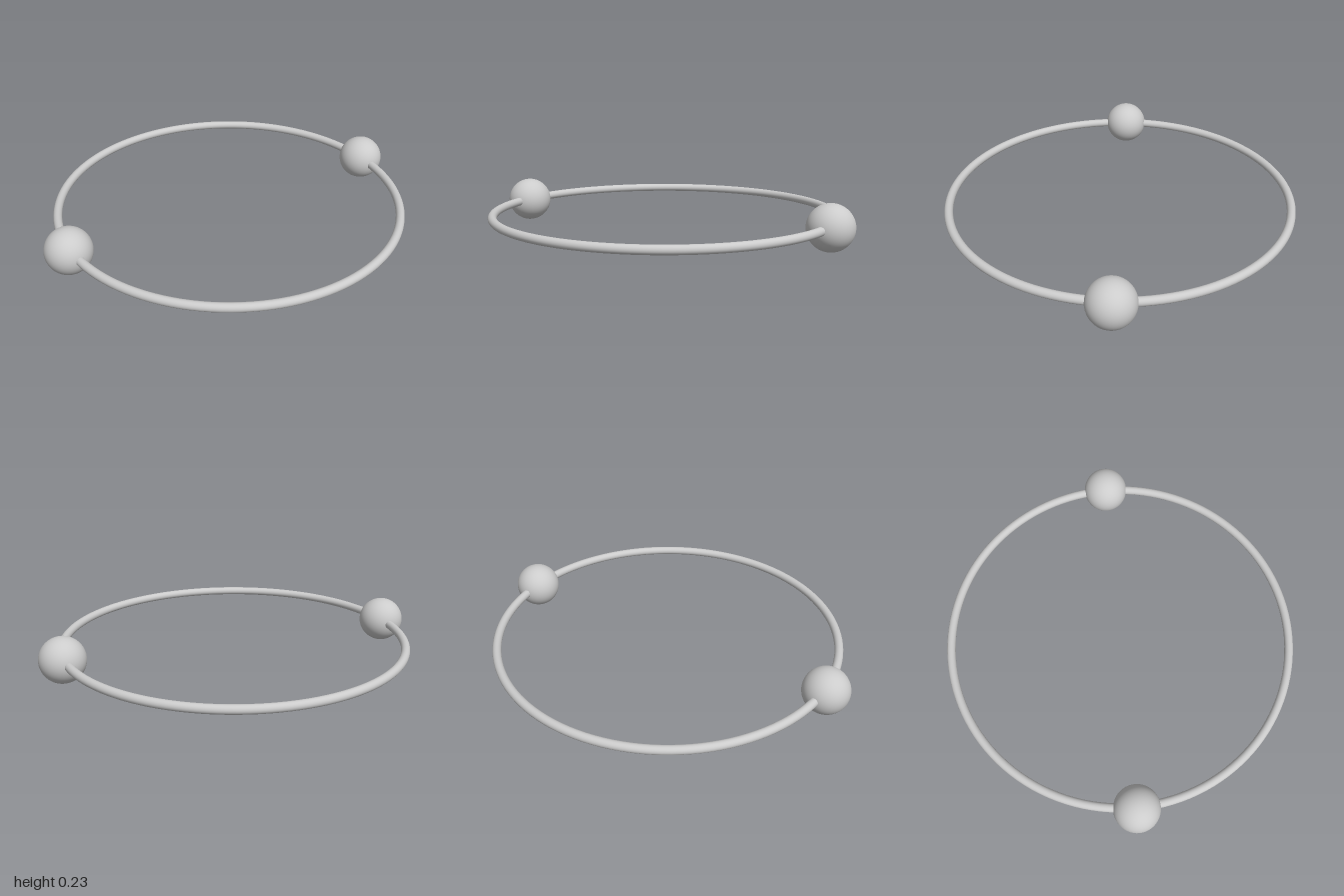
import * as THREE from 'three';

export function createModel() {
  const model = new THREE.Group();
  const grey = new THREE.MeshStandardMaterial({ color: 0xcccccc });
  const ballRadius = 0.116;

  // Thin ring lying flat at the height of the ball centres
  const ring = new THREE.Mesh(new THREE.TorusGeometry(0.878, 0.022, 20, 128), grey);
  ring.name = 'ring';
  ring.rotation.x = -Math.PI / 2;
  ring.position.y = ballRadius;
  model.add(ring);

  // One ball threaded on each side of the ring
  const ballGeometry = new THREE.SphereGeometry(ballRadius, 48, 32);
  for (const side of [-1, 1]) {
    const ball = new THREE.Mesh(ballGeometry, grey);
    ball.name = side > 0 ? 'leftBall' : 'rightBall';
    ball.position.set(side * (1 - ballRadius), ballRadius, 0);
    model.add(ball);
  }
  return model;
}
